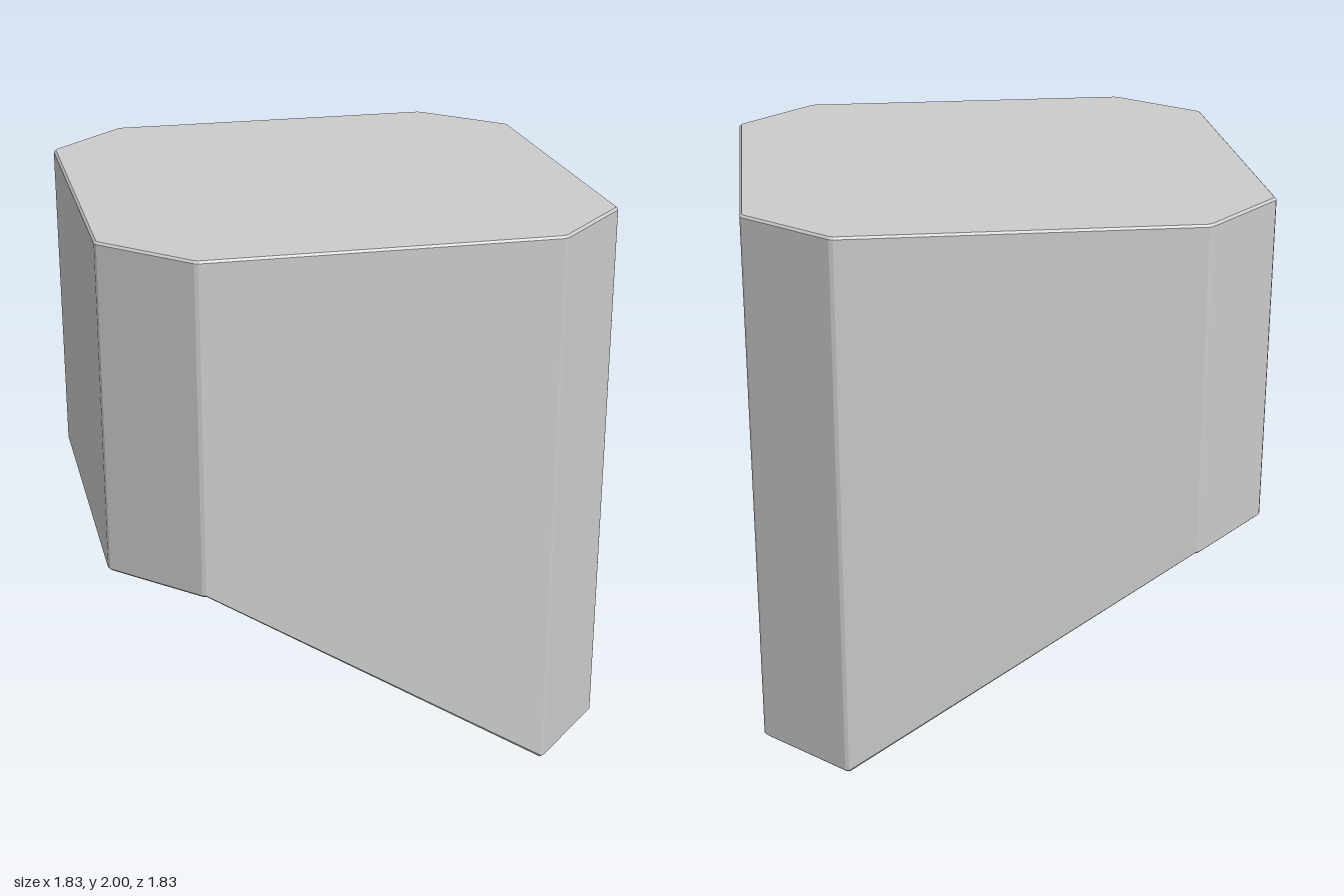
import * as THREE from 'three';

const HALF = 0.915;    // half width across the flats
const CORNER = 0.625;  // where the corner chamfers begin
const BEVEL = 0.008;   // softening of the edges
const HIGH = 0.8;      // underside height at the short end
const SKIRT = 0.055;   // skirt wall thickness
const LIP = 0.085;     // inset of the recess in the underside

// Lower edge: low on the +x corners, high on the -x corners
const lower = (x) => (x > 0 ? 0 : HIGH);

// Octagonal ring inset from the outer walls, each corner slightly cut
function ring(inset, y) {
  const a = HALF - inset;
  const c = CORNER - inset * Math.tan(Math.PI / 8);
  const corners = [[a, c], [c, a], [-c, a], [-a, c], [-a, -c], [-c, -a], [c, -a], [a, -c]]
    .map(([x, z]) => new THREE.Vector3(x, typeof y === 'function' ? y(x) : y, z));
  const points = [];
  corners.forEach((p, i) => {
    for (const q of [corners[(i + 7) % 8], corners[(i + 1) % 8]]) {
      const step = new THREE.Vector3(q.x - p.x, 0, q.z - p.z).setLength(BEVEL);
      points.push(p.clone().add(step));
    }
  });
  return points;
}

const centre = (y) => Array.from({ length: 16 }, () => new THREE.Vector3(0, y, 0));

// Joins successive rings with flat faces, skipping collapsed triangles
function loft(name, rings, material) {
  const verts = [];
  const tri = (a, b, c) => {
    const area = b.clone().sub(a).cross(c.clone().sub(a)).length();
    if (area > 1e-9) for (const p of [a, b, c]) verts.push(p.x, p.y, p.z);
  };
  for (let j = 0; j < rings.length - 1; j++) {
    const u = rings[j], l = rings[j + 1];
    for (let i = 0; i < u.length; i++) {
      const k = (i + 1) % u.length;
      tri(u[i], u[k], l[k]);
      tri(u[i], l[k], l[i]);
    }
  }
  const geometry = new THREE.BufferGeometry();
  geometry.setAttribute('position', new THREE.Float32BufferAttribute(verts, 3));
  geometry.computeVertexNormals();
  const mesh = new THREE.Mesh(geometry, material);
  mesh.name = name;
  return mesh;
}

export function createModel() {
  const group = new THREE.Group();
  group.name = 'slopedOctagonalBlock';
  const material = new THREE.MeshStandardMaterial({ color: 0xcccccc, flatShading: true });

  // Top, outer walls and the sloping bottom rim
  group.add(loft('outerShell', [
    centre(2),
    ring(BEVEL, 2),
    ring(0, 2 - BEVEL),
    ring(0, (x) => lower(x) + BEVEL),
    ring(BEVEL, lower),
    ring(SKIRT, lower),
  ], material));

  // Inside of the skirt up to the level ledge
  group.add(loft('skirtLining', [
    ring(SKIRT, lower),
    ring(SKIRT, HIGH),
    ring(LIP, HIGH),
  ], material));

  // Shallow recess above the ledge
  group.add(loft('undersideRecess', [
    ring(LIP, HIGH),
    ring(LIP, HIGH + 0.12),
    centre(HIGH + 0.12),
  ], material));

  return group;
}
